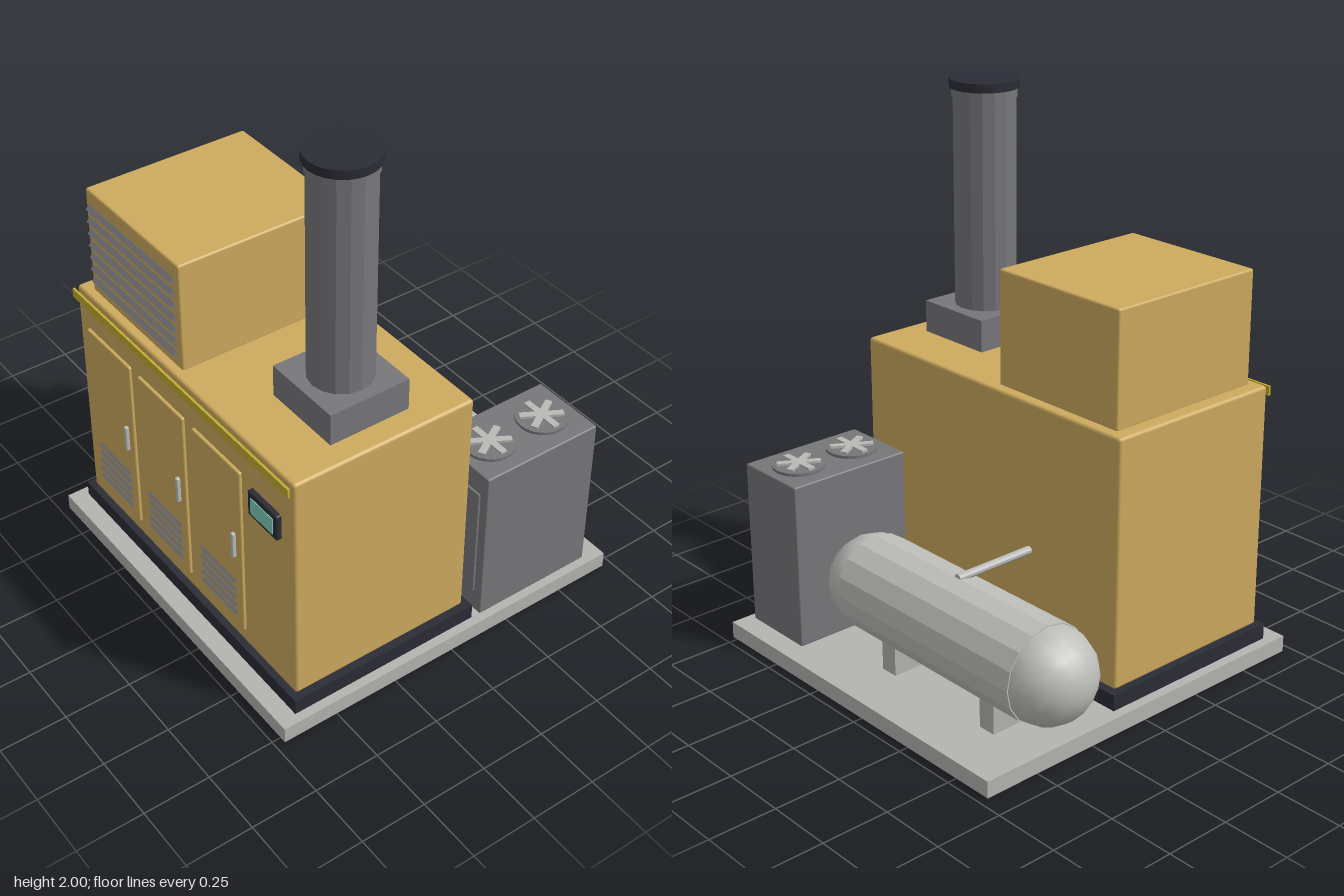
import * as THREE from 'three';
import { RoundedBoxGeometry } from 'three/addons/geometries/RoundedBoxGeometry.js';

const mat = (name, color, flat = false) => {
  const m = new THREE.MeshStandardMaterial({ color, flatShading: flat });
  m.name = name;
  return m;
};

export function createModel() {
  const root = new THREE.Group();
  root.name = 'generatorUnit';
  const tan = mat('tanPaint', 0xcdaa5e);
  const concrete = mat('concrete', 0xb3b3b0);
  const dark = mat('darkSteel', 0x2b2c35);
  const grey = mat('greySteel', 0x77777a, true);
  const light = mat('lightSteel', 0xb9b9b6, true);
  const tankPaint = mat('tankPaint', 0xbdbdba);
  const stripe = mat('yellowStripe', 0xc2ac32);
  const glass = mat('screenGlass', 0x7ccab8);

  const add = (name, geo, material, x, y, z, parent = root) => {
    const m = new THREE.Mesh(geo, material);
    m.name = name;
    m.position.set(x, y, z);
    parent.add(m);
    return m;
  };
  // Box given by its limits on each axis; r > 0 rounds the edges
  const box = (name, material, [x0, x1], [y0, y1], [z0, z1], r = 0, parent = root) => {
    const s = [x1 - x0, y1 - y0, z1 - z0];
    const geo = r ? new RoundedBoxGeometry(...s, 2, r) : new THREE.BoxGeometry(...s);
    return add(name, geo, material, (x0 + x1) / 2, (y0 + y1) / 2, (z0 + z1) / 2, parent);
  };
  const group = (name, x = 0, y = 0, z = 0) => {
    const g = new THREE.Group();
    g.name = name;
    g.position.set(x, y, z);
    root.add(g);
    return g;
  };
  // Row of slats turned 45 degrees about x
  const slats = (name, parent, x, y0, z, width, side, count, step) => {
    for (let i = 0; i < count; i++) {
      add(name, new THREE.BoxGeometry(width, side, side), grey, x, y0 + i * step, z, parent)
        .rotation.x = Math.PI / 4;
    }
  };

  // Base and main cabinet
  box('slab', concrete, [-0.655, 0.775], [0, 0.062], [-0.715, 0.715]);
  box('skid', dark, [-0.617, 0.74], [0.062, 0.122], [-0.115, 0.647]);
  box('cabinet', tan, [-0.595, 0.715], [0.122, 1.045], [-0.09, 0.625], 0.012);
  box('topStripe', stripe, [-0.592, 0.712], [1.003, 1.038], [0.637, 0.646]);

  // Three doors with handles and vents
  [-0.39, -0.055, 0.283].forEach((x) => {
    const door = group('door', x);
    box('doorPanel', tan, [-0.141, 0.141], [0.185, 0.895], [0.615, 0.637], 0.006, door);
    box('doorHandle', light, [0.096, 0.112], [0.51, 0.615], [0.635, 0.651], 0.004, door);
    slats('doorVent', door, 0, 0.24, 0.636, 0.212, 0.015, 5, 0.037);
  });

  // Control screen
  box('screenFrame', dark, [0.483, 0.645], [0.773, 0.875], [0.618, 0.645], 0.006);
  box('screen', glass, [0.503, 0.626], [0.79, 0.856], [0.642, 0.648]);

  // Air intake housing with louvers
  box('intakeHousing', tan, [-0.54, 0.035], [1.04, 1.462], [-0.05, 0.59], 0.008);
  slats('louver', group('louvers'), -0.256, 1.096, 0.592, 0.525, 0.021, 7, 0.0492);

  // Exhaust stack
  box('stackBase', grey, [0.313, 0.625], [1.04, 1.165], [0.11, 0.421]);
  const stack = group('exhaustStack', 0.468, 0, 0.266);
  add('stackPipe', new THREE.CylinderGeometry(0.113, 0.113, 0.8, 16), grey, 0, 1.56, 0, stack);
  add('stackCollar', new THREE.CylinderGeometry(0.118, 0.118, 0.04, 16), grey, 0, 1.953, 0, stack);
  add('stackCap', new THREE.CylinderGeometry(0.126, 0.126, 0.032, 24), dark, 0, 1.984, 0, stack);

  // Fuel tank lying along x, with domed ends, saddles and a feed pipe
  const tank = group('fuelTank', -0.162, 0.318, -0.415);
  const flatTank = mat('tankShell', 0xbdbdba, true);
  add('tankShell', new THREE.CylinderGeometry(0.177, 0.177, 0.895, 16), flatTank, 0, 0, 0, tank)
    .rotation.z = Math.PI / 2;
  for (const s of [-1, 1]) {
    const dome = new THREE.SphereGeometry(0.173, 16, 6, 0, Math.PI * 2, 0, Math.PI / 2);
    add('tankDome', dome, tankPaint, s * 0.445, 0, 0, tank).rotation.z = -s * Math.PI / 2;
    box('tankSaddle', concrete, [s * 0.26 - 0.035, s * 0.26 + 0.035], [-0.256, -0.13], [-0.1, 0.1], 0, tank);
  }
  add('feedPipe', new THREE.CylinderGeometry(0.015, 0.015, 0.33, 10), light, -0.163, 0.495, -0.25)
    .rotation.x = Math.PI / 2;

  // Cooler with two roof fans and a front panel
  box('cooler', mat('coolerGrey', 0x77777a), [0.45, 0.745], [0.062, 0.687], [-0.637, -0.148], 0.006);
  box('coolerPanel', grey, [0.487, 0.71], [0.155, 0.6], [-0.15, -0.14]);
  for (const z of [-0.51, -0.273]) {
    const fan = group('fan', 0.598, 0.687, z);
    add('fanDisc', new THREE.CylinderGeometry(0.095, 0.095, 0.012, 24), grey, 0, 0.005, 0, fan);
    for (let i = 0; i < 3; i++) {
      add('fanBlade', new THREE.BoxGeometry(0.158, 0.01, 0.025), light, 0, 0.015, 0, fan)
        .rotation.y = i * Math.PI / 3;
    }
  }
  return root;
}
